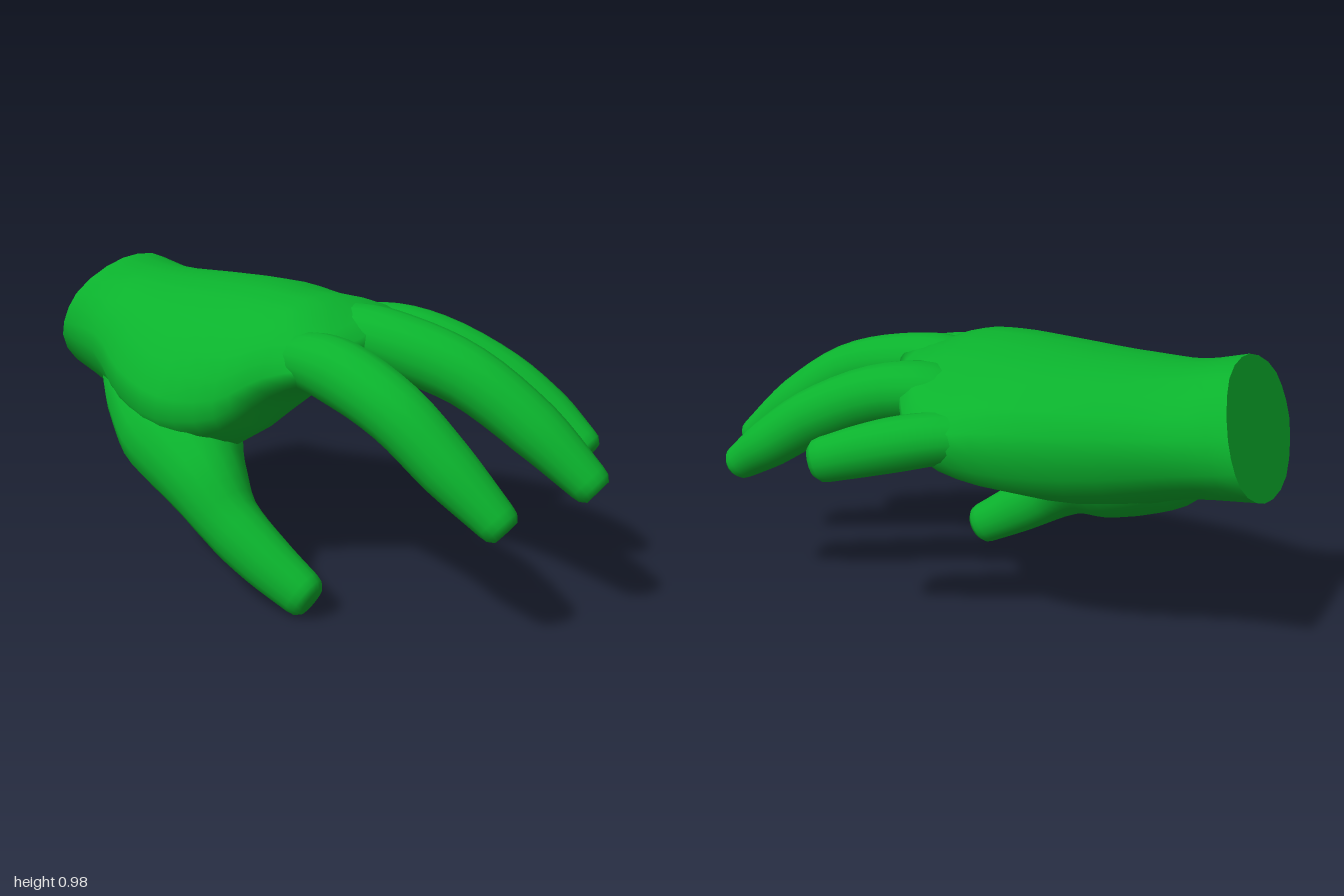
import * as THREE from 'three';

const skin = new THREE.MeshStandardMaterial({ color: 0x0bb22d });
skin.name = 'green skin';
const V = (x, y, z) => new THREE.Vector3(x, y, z);

// Skin a list of equal-length rings (counter-clockwise seen from the far end)
function loft(rings, closeStart, closeEnd) {
  const n = rings[0].length, pos = [], idx = [];
  rings.forEach(r => r.forEach(p => pos.push(p.x, p.y, p.z)));
  for (let i = 0; i < rings.length - 1; i++) {
    for (let j = 0; j < n; j++) {
      const k = (j + 1) % n, a = i * n + j, b = i * n + k;
      idx.push(a, b, b + n, a, b + n, a + n);
    }
  }
  const cap = (row, flip) => {
    const c = V(0, 0, 0);
    rings[row].forEach(p => c.addScaledVector(p, 1 / n));
    const pole = pos.length / 3;
    pos.push(c.x, c.y, c.z);
    for (let j = 0; j < n; j++) {
      const a = row * n + j, b = row * n + (j + 1) % n;
      if (flip) idx.push(pole, b, a); else idx.push(pole, a, b);
    }
  };
  if (closeStart) cap(0, true);
  if (closeEnd) cap(rings.length - 1, false);
  const g = new THREE.BufferGeometry();
  g.setAttribute('position', new THREE.Float32BufferAttribute(pos, 3));
  g.setIndex(idx);
  g.computeVertexNormals();
  return g;
}

// Tapered digit: rows of [x, y, z, half width, half thickness], buried root to tip
function digit(rows, sides = 16) {
  const path = new THREE.CatmullRomCurve3(rows.map(r => V(r[0], r[1], r[2])));
  const size = new THREE.CatmullRomCurve3(rows.map(r => V(r[3], r[4], 0)));
  const rings = [], steps = (rows.length - 1) * 4;
  const addRing = (t, push, scale) => {
    const dir = path.getTangent(t), s = size.getPoint(t);
    const c = path.getPoint(t).addScaledVector(dir, push);
    const side = V(0, 1, 0).cross(dir).normalize();
    const up = dir.clone().cross(side);
    rings.push(Array.from({ length: sides }, (_, j) => {
      const a = j / sides * Math.PI * 2;
      return c.clone().addScaledVector(side, Math.cos(a) * s.x * scale)
        .addScaledVector(up, Math.sin(a) * s.y * scale);
    }));
  };
  for (let i = 0; i <= steps; i++) addRing(i / steps, 0, 1);
  // rounded blunt tip
  addRing(1, 0.025, 0.92);
  addRing(1, 0.044, 0.68);
  return loft(rings, true, true);
}

// Palm cross-sections: z, wrist slant, then outline x,y pairs over the back and under the palm
const palmSections = [
  [-0.93, 1, -0.46, 0.72, -0.42, 0.87, -0.21, 0.975, 0.00, 0.95, 0.11, 0.80, 0.09, 0.66, -0.08, 0.56, -0.32, 0.57],
  [-0.75, 0.5, -0.45, 0.69, -0.37, 0.86, -0.18, 0.945, 0.02, 0.92, 0.17, 0.78, 0.13, 0.62, -0.08, 0.53, -0.32, 0.51],
  [-0.50, 0, -0.53, 0.60, -0.41, 0.83, -0.18, 0.94, 0.08, 0.92, 0.29, 0.77, 0.25, 0.57, -0.02, 0.47, -0.29, 0.40],
  [-0.25, 0, -0.56, 0.56, -0.44, 0.79, -0.18, 0.945, 0.12, 0.92, 0.39, 0.76, 0.35, 0.58, 0.02, 0.53, -0.32, 0.40],
  [-0.04, 0, -0.49, 0.59, -0.43, 0.78, -0.18, 0.945, 0.12, 0.90, 0.41, 0.73, 0.36, 0.62, 0.04, 0.62, -0.36, 0.49],
  [0.10, 0, -0.41, 0.69, -0.36, 0.83, -0.16, 0.93, 0.08, 0.91, 0.30, 0.79, 0.28, 0.70, 0.04, 0.69, -0.25, 0.65],
  [0.27, 0, -0.34, 0.76, -0.29, 0.82, -0.15, 0.84, 0.00, 0.88, 0.09, 0.85, 0.09, 0.79, -0.02, 0.75, -0.22, 0.72],
];

function palmRings() {
  const outlines = palmSections.map(([z, slant, ...xy]) => {
    const pts = [];
    for (let i = 0; i < xy.length; i += 2) {
      const x = xy[i], y = xy[i + 1];
      pts.push(V(x, y, z + slant * (0.3 * (y - 0.76) - 0.13 * (x + 0.16))));
    }
    return new THREE.CatmullRomCurve3(pts.reverse(), true).getPoints(24).slice(0, 24);
  });
  // smooth lengthwise through matching outline points
  const lines = outlines[0].map((_, j) => new THREE.CatmullRomCurve3(outlines.map(o => o[j])));
  const steps = (palmSections.length - 1) * 3;
  return Array.from({ length: steps + 1 }, (_, i) => lines.map(l => l.getPoint(i / steps)));
}

const digits = {
  thumb: [
    [-0.24, 0.68, -0.78, 0.13, 0.09], [-0.30, 0.55, -0.58, 0.185, 0.16],
    [-0.37, 0.46, -0.36, 0.21, 0.18], [-0.45, 0.355, -0.13, 0.138, 0.15],
    [-0.47, 0.25, 0.01, 0.097, 0.108], [-0.45, 0.155, 0.15, 0.083, 0.095],
    [-0.42, 0.075, 0.28, 0.068, 0.08],
  ],
  indexFinger: [
    [-0.25, 0.75, 0.00, 0.085, 0.06], [-0.27, 0.775, 0.17, 0.10, 0.092],
    [-0.27, 0.755, 0.32, 0.103, 0.105], [-0.265, 0.675, 0.53, 0.097, 0.10],
    [-0.235, 0.54, 0.70, 0.09, 0.09], [-0.20, 0.41, 0.855, 0.068, 0.065],
  ],
  middleFinger: [
    [-0.05, 0.78, -0.02, 0.09, 0.07], [-0.03, 0.82, 0.15, 0.11, 0.10],
    [-0.01, 0.80, 0.34, 0.105, 0.105], [0.03, 0.74, 0.56, 0.093, 0.10],
    [0.09, 0.605, 0.77, 0.09, 0.09], [0.135, 0.465, 0.94, 0.068, 0.065],
  ],
  ringFinger: [
    [0.09, 0.75, -0.12, 0.09, 0.06], [0.17, 0.785, 0.06, 0.115, 0.098],
    [0.24, 0.76, 0.25, 0.10, 0.10], [0.33, 0.66, 0.47, 0.09, 0.095],
    [0.385, 0.555, 0.62, 0.085, 0.085], [0.405, 0.475, 0.735, 0.065, 0.065],
  ],
  littleFinger: [
    [0.23, 0.71, -0.32, 0.08, 0.06], [0.34, 0.71, -0.13, 0.088, 0.082],
    [0.41, 0.685, 0.00, 0.09, 0.088], [0.47, 0.655, 0.11, 0.08, 0.085],
    [0.53, 0.62, 0.22, 0.068, 0.075],
  ],
};

export function createModel() {
  const hand = new THREE.Group();
  hand.name = 'hand';
  const add = (name, geometry) => {
    const mesh = new THREE.Mesh(geometry, skin);
    mesh.name = name;
    hand.add(mesh);
  };

  const rings = palmRings();
  add('palm', loft(rings, false, true));

  // flat cut at the wrist, kept separate for a crisp rim
  const rim = rings[0], centre = V(0, 0, 0);
  rim.forEach(p => centre.addScaledVector(p, 1 / rim.length));
  const inner = rim.map(p => p.clone().lerp(centre, 0.5));
  add('wristEnd', loft([inner, rim], true, false));

  for (const [name, rows] of Object.entries(digits)) add(name, digit(rows));
  return hand;
}
